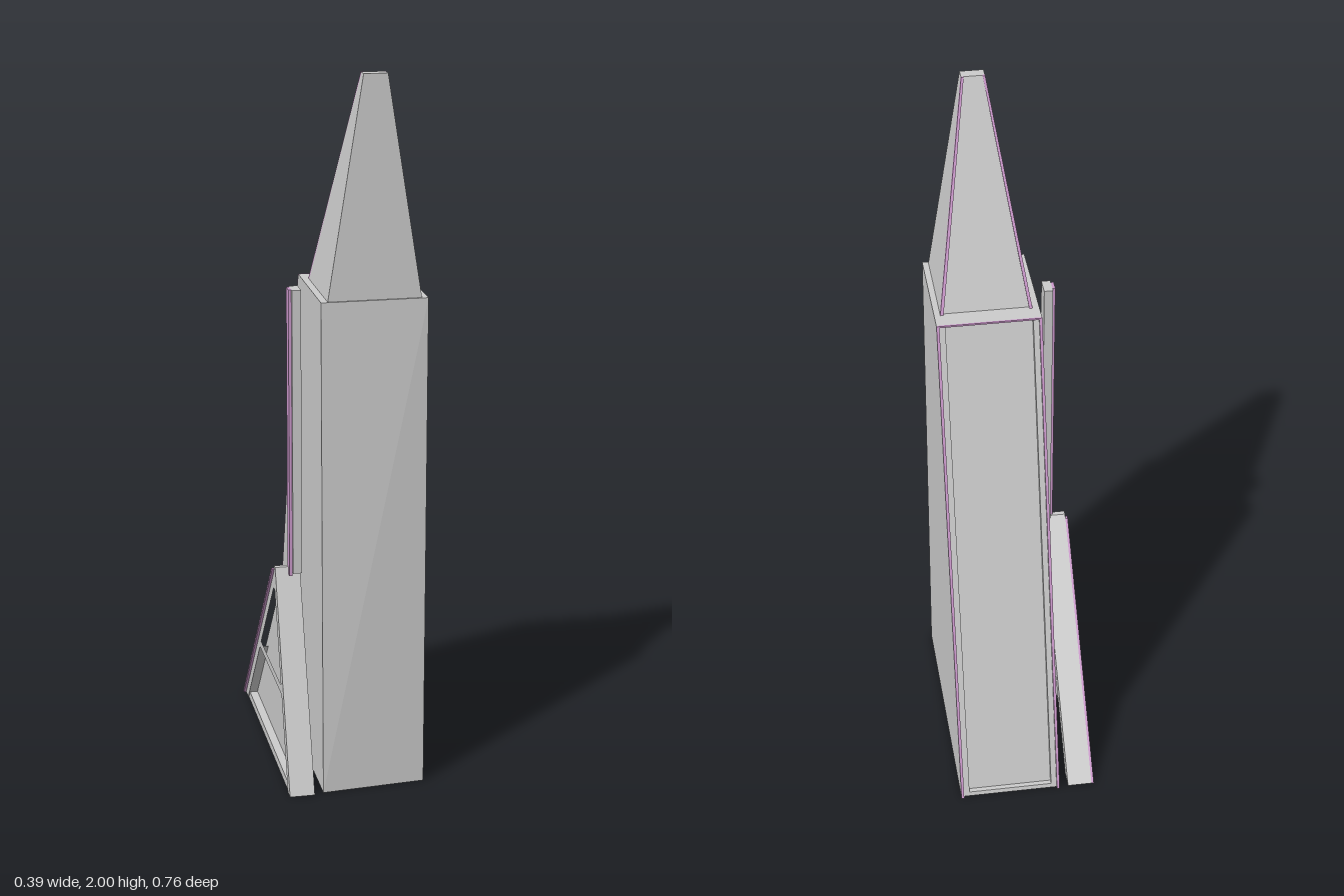
import * as THREE from 'three';

const grey = new THREE.MeshStandardMaterial({ color: 0xcccccc, flatShading: true });
const pink = new THREE.MeshStandardMaterial({ color: 0xcc99cc, flatShading: true });

export function createModel() {
  const model = new THREE.Group();

  // Six-sided block from two quads of [x, z] corners at heights y0 and y1.
  // Corner order: back -x, back +x, front +x, front -x.
  function block(name, y0, bottom, y1, top, material = grey) {
    const b = bottom.map(([x, z]) => [x, y0, z]);
    const t = top.map(([x, z]) => [x, y1, z]);
    const quads = [
      [b[3], b[2], t[2], t[3]], [b[2], b[1], t[1], t[2]],
      [b[1], b[0], t[0], t[1]], [b[0], b[3], t[3], t[0]],
      [t[3], t[2], t[1], t[0]], [b[0], b[1], b[2], b[3]],
    ];
    const points = quads.flatMap(([p, q, r, s]) => [p, q, r, p, r, s]).flat();
    const geometry = new THREE.BufferGeometry();
    geometry.setAttribute('position', new THREE.Float32BufferAttribute(points, 3));
    geometry.computeVertexNormals();
    const mesh = new THREE.Mesh(geometry, material);
    mesh.name = name;
    model.add(mesh);
  }
  const rect = (x0, x1, z0, z1) => [[x0, z0], [x1, z0], [x1, z1], [x0, z1]];

  // Hollow lower body, open underneath, with a sloping back
  const H = 1.4;
  const L = -0.094, R = 0.197, wall = 0.008;
  const back = (y) => -0.382 + (0.397 * y) / H;
  const sloped = (name, x0, x1, d0, d1, material, y0 = 0, y1 = H) =>
    block(name, y0, rect(x0, x1, back(y0) + d0, back(y0) + d1),
      y1, rect(x0, x1, back(y1) + d0, back(y1) + d1), material);

  for (const [side, x, frontZ] of [['right', L, 0.369], ['left', R - wall, 0.345]]) {
    block(side + 'Wall', 0, rect(x, x + wall, back(0) + 0.003, frontZ),
      H, rect(x, x + wall, back(H) + 0.003, 0.342));
    sloped(side + 'WallRim', x, x + wall, 0, 0.003, pink);
  }
  block('frontWall', 0, [[L, 0.366], [R, 0.342], [R, 0.346], [L, 0.37]],
    H, rect(L, R, 0.339, 0.343));
  block('deck', H - 0.005, rect(L, R, 0.02, 0.343), H, rect(L, R, 0.02, 0.343));
  block('deckRim', H - 0.005, rect(L, R, 0.015, 0.02), H, rect(L, R, 0.015, 0.02), pink);

  // Recessed back panel inside its rails
  sloped('backPanel', L + wall, R - wall, 0.022, 0.028);
  sloped('rightRail', L + wall, -0.07, 0.008, 0.022);
  sloped('leftRail', 0.172, R - wall, 0.008, 0.022);
  sloped('bottomRail', -0.07, 0.172, 0.008, 0.022, grey, 0, 0.012);

  // Tapered spire with fins along its rear edges
  block('spire', H, rect(-0.075, 0.18, 0.075, 0.338), 2, rect(0.02, 0.085, 0.303, 0.335));
  block('rightSpireFin', H, rect(-0.075, -0.066, 0.067, 0.08),
    2, rect(0.02, 0.027, 0.299, 0.31), pink);
  block('leftSpireFin', H, rect(0.171, 0.18, 0.067, 0.08),
    2, rect(0.078, 0.085, 0.299, 0.31), pink);

  // Triangular side frame: two legs joined by a crossbar
  const zBack = (y) => -0.375 + 0.875 * y;
  const zFront = (y) => 0.38 - 0.358 * y;
  const path = (Type, corners) => new Type(corners.map(([z, y]) => new THREE.Vector2(-z, y)));
  const inner = (y) => [[zBack(y) + 0.05, y], [zFront(y) - 0.035, y]];
  const [backFoot, frontFoot] = inner(0), [backKnee, frontKnee] = inner(0.255);
  const frameShape = path(THREE.Shape, [
    [zBack(0), 0], backFoot, backKnee, frontKnee, frontFoot, [zFront(0), 0],
    [zFront(0.59), 0.59], [zFront(0.6), 0.6], [zBack(0.6), 0.6]]);
  const [a, b] = inner(0.28), [d, c] = inner(0.53);
  frameShape.holes.push(path(THREE.Path, [a, b, c, d]));

  // Recessed panel and shallow sill, both set into the legs
  const inset = (y) => [[zBack(y) + 0.02, y], [zFront(y) - 0.01, y]];
  const band = (y0, y1) => {
    const [p, q] = inset(y0), [s, r] = inset(y1);
    return path(THREE.Shape, [p, q, r, s]);
  };
  for (const [name, shape, x, depth] of [
    ['sideFrame', frameShape, -0.19, 0.07],
    ['sideFramePanel', band(0.01, 0.57), -0.165, 0.015],
    ['sideFrameSill', band(0, 0.025), -0.188, 0.038]]) {
    const mesh = new THREE.Mesh(
      new THREE.ExtrudeGeometry(shape, { depth, bevelEnabled: false }), grey);
    mesh.name = name;
    mesh.rotation.y = Math.PI / 2;
    mesh.position.x = x;
    model.add(mesh);
  }
  block('sideFrameStrip', 0, rect(-0.197, -0.19, zBack(0), zBack(0) + 0.012),
    0.59, rect(-0.197, -0.19, zBack(0.59), zBack(0.59) + 0.012), pink);

  // Upright post above the frame, with a thin outer fin
  block('post', 0.59, rect(-0.145, -0.12, 0.145, 0.197), H, rect(-0.145, -0.12, 0.145, 0.197));
  block('postFin', 0.58, rect(-0.153, -0.145, 0.155, 0.188), H, rect(-0.153, -0.145, 0.155, 0.188), pink);

  return model;
}
